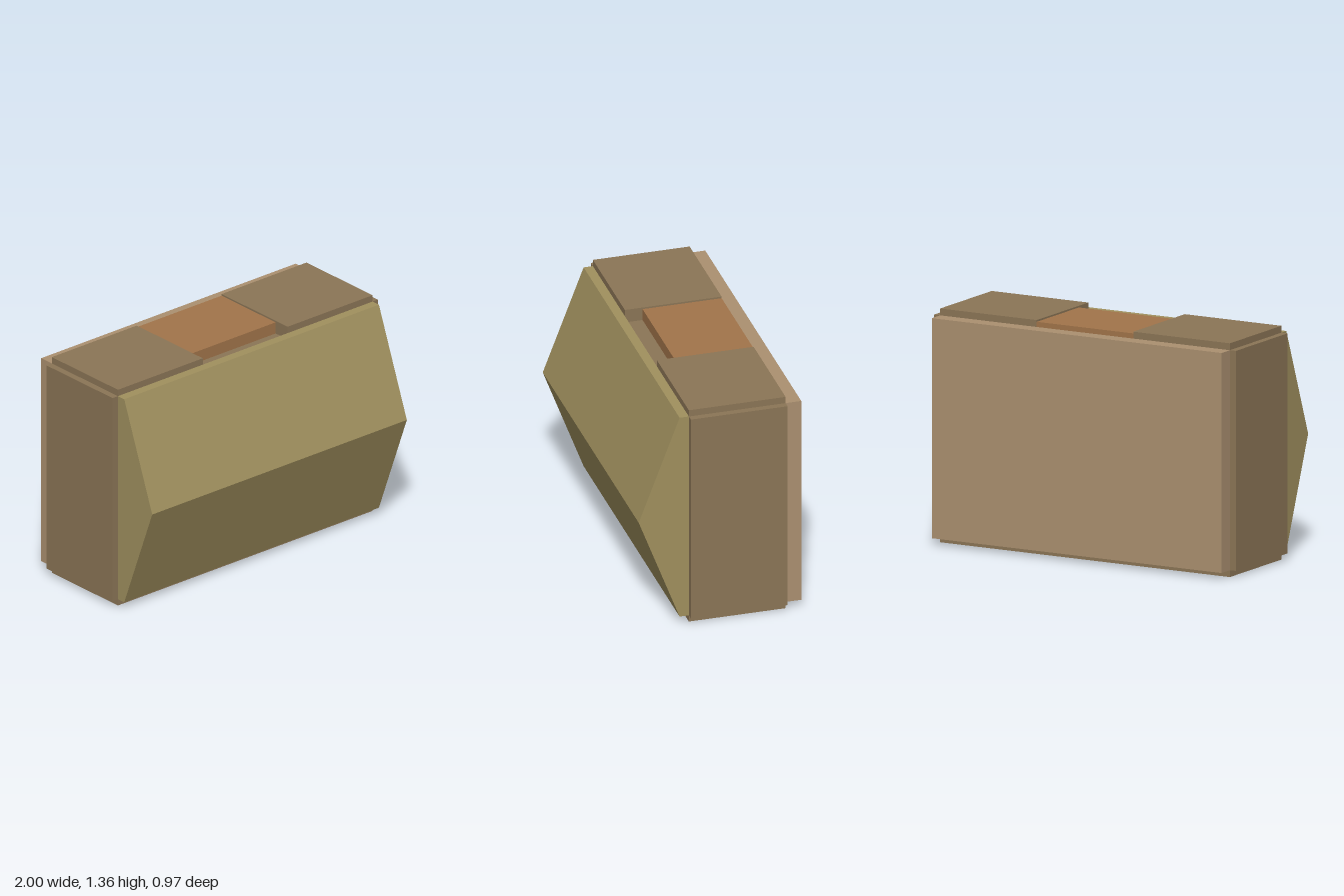
import * as THREE from 'three';

const BROWN = 0x8b7556, TAN = 0xab9070, OLIVE = 0xa0905e, ORANGE = 0xa1744a;

function material(color) {
  return new THREE.MeshStandardMaterial({ color, flatShading: true });
}

// Box given by its minimum and maximum corners
function block(name, color, [x0, y0, z0], [x1, y1, z1]) {
  const mesh = new THREE.Mesh(new THREE.BoxGeometry(x1 - x0, y1 - y0, z1 - z0), material(color));
  mesh.position.set((x0 + x1) / 2, (y0 + y1) / 2, (z0 + z1) / 2);
  mesh.name = name;
  return mesh;
}

export function createModel() {
  const model = new THREE.Group();
  model.name = 'packCase';
  const w = 0.96, back = -0.39, front = 0.185;

  // Inner body; its top is the floor of the recess
  model.add(block('core', BROWN, [-w, 0.04, back], [w, 1.28, front]));

  // Outer panels
  model.add(block('bottomPanel', BROWN, [-w, 0, back], [w, 0.04, front]));
  model.add(block('backPanel', TAN, [-w, 0.04, -0.483], [w, 1.32, back]));
  for (const s of [1, -1]) {
    const side = s > 0 ? 'left' : 'right';
    const a = s > 0 ? w : -1, b = s > 0 ? 1 : -w;
    model.add(block(side + 'SidePanel', BROWN, [a, 0.04, back], [b, 1.32, front]));
    const c = s > 0 ? 0.32 : -w, d = s > 0 ? w : -0.32;
    model.add(block(side + 'TopPanel', BROWN, [c, 1.28, back], [d, 1.36, front]));
  }

  // Centre lid set between the top panels, short of the front
  model.add(block('centreLid', ORANGE, [-0.32, 1.28, back], [0.32, 1.35, 0.08]));

  // Front panel with a ridge across its middle, profile in z and y
  const profile = new THREE.Shape([
    [front, 0.04], [0.24, 0.04], [0.483, 0.68], [0.24, 1.32], [front, 1.32],
  ].map(([z, y]) => new THREE.Vector2(z, y)));
  const geometry = new THREE.ExtrudeGeometry(profile, { depth: 2 * w, bevelEnabled: false });
  geometry.rotateY(-Math.PI / 2).translate(w, 0, 0);
  const ridge = new THREE.Mesh(geometry, material(OLIVE));
  ridge.name = 'ridgedFrontPanel';
  model.add(ridge);

  return model;
}
